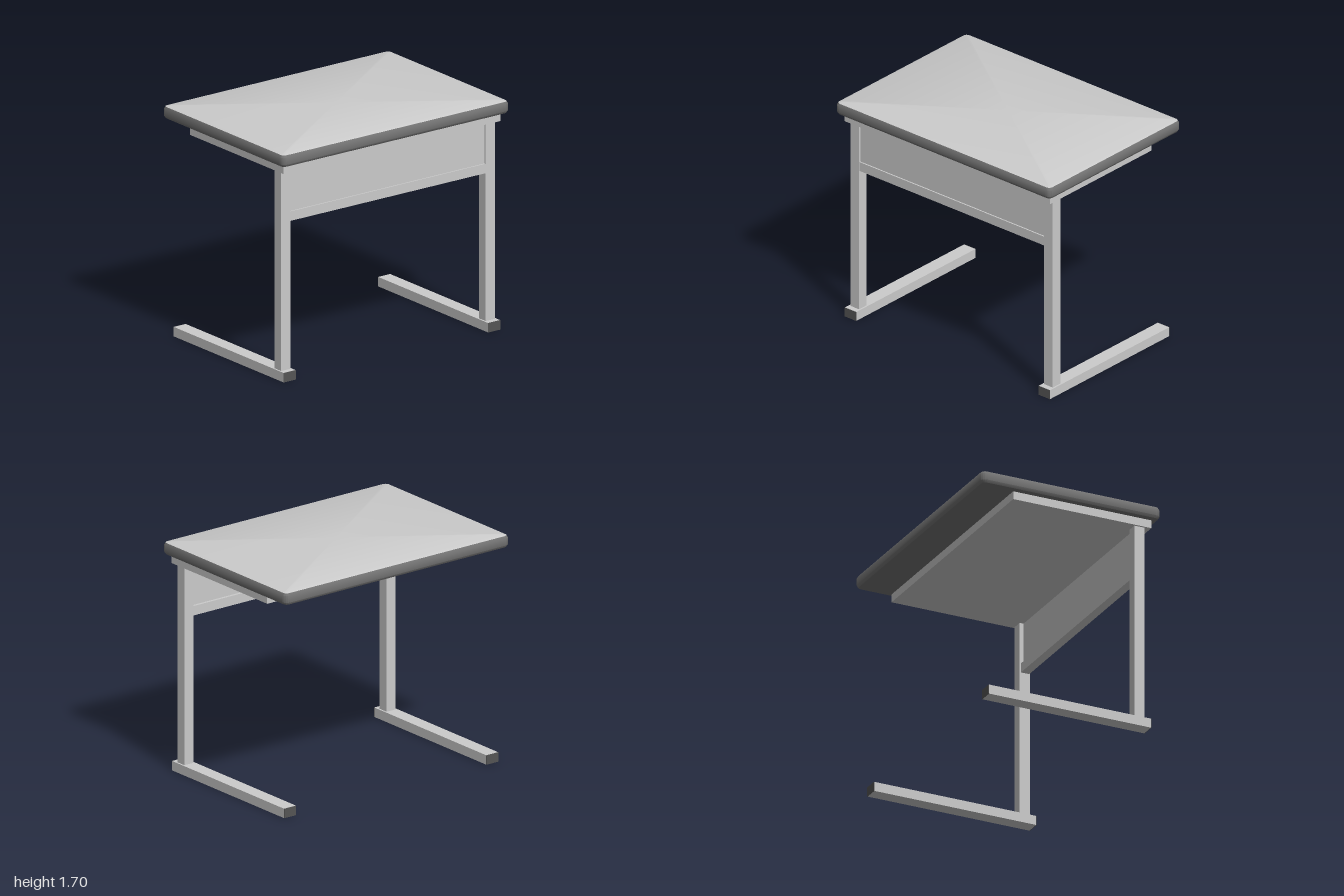
import * as THREE from 'three';
import { toCreasedNormals } from 'three/addons/utils/BufferGeometryUtils.js';

const grey = new THREE.MeshStandardMaterial({ color: 0xcccccc });
const edgeGrey = new THREE.MeshStandardMaterial({ color: 0x747474 });
const capGrey = new THREE.MeshStandardMaterial({ color: 0x555555 });

// Box given by its min and max corners
function box(name, [x0, y0, z0], [x1, y1, z1], material = grey) {
  const mesh = new THREE.Mesh(new THREE.BoxGeometry(x1 - x0, y1 - y0, z1 - z0), material);
  mesh.position.set((x0 + x1) / 2, (y0 + y1) / 2, (z0 + z1) / 2);
  mesh.name = name;
  return mesh;
}

// Rounded rectangle swept through a bottom-to-top profile of [inset, y];
// an inset of null closes the surface at its centre
function slab(name, halfX, halfZ, radius, profile, material) {
  const steps = 5, n = steps * 4, positions = [], index = [];
  for (const [inset, y] of profile) {
    for (let k = 0; k < n; k++) {
      const corner = Math.floor(k / steps);
      const a = (corner + (k % steps) / (steps - 1)) * Math.PI / 2;
      if (inset === null) { positions.push(0, y, 0); continue; }
      const r = Math.max(radius - inset, 0.012);
      const sx = corner === 0 || corner === 3 ? 1 : -1;
      const sz = corner < 2 ? 1 : -1;
      positions.push(
        sx * (halfX - inset - r) + r * Math.cos(a), y,
        sz * (halfZ - inset - r) + r * Math.sin(a));
    }
  }
  for (let j = 0; j < profile.length - 1; j++) {
    for (let k = 0; k < n; k++) {
      const a = j * n + k, b = j * n + (k + 1) % n, c = a + n, d = b + n;
      if (profile[j][0] !== null) index.push(a, c, b);
      if (profile[j + 1][0] !== null) index.push(b, c, d);
    }
  }
  const geometry = new THREE.BufferGeometry();
  geometry.setAttribute('position', new THREE.Float32BufferAttribute(positions, 3));
  geometry.setIndex(index);
  const mesh = new THREE.Mesh(toCreasedNormals(geometry, 0.6), material);
  mesh.name = name;
  return mesh;
}

export function createModel() {
  const desk = new THREE.Group();
  desk.name = 'desk';

  // Desktop: dark edge band and underside, light writing surface
  desk.add(slab('desktopEdge', 1, 0.7, 0.04, [
    [null, 1.6], [0.03, 1.6], [0.012, 1.607], [0, 1.625],
    [0, 1.675], [0.01, 1.692],
  ], edgeGrey));
  desk.add(slab('desktopSurface', 1, 0.7, 0.04, [
    [0.01, 1.692], [0.032, 1.7], [null, 1.7],
  ], grey));

  // Frame under the desktop
  desk.add(box('underframe', [-0.955, 1.54, -0.435], [0.955, 1.6, 0.645]));

  // Front panel and the rail beneath it
  desk.add(box('modestyPanel', [-0.86, 1.23, 0.55], [0.86, 1.54, 0.585]));
  desk.add(box('panelRail', [-0.86, 1.16, 0.53], [0.86, 1.23, 0.595]));

  // Legs, floor runners and runner end caps
  for (const [side, s] of [['left', 1], ['right', -1]]) {
    const support = new THREE.Group();
    support.name = side + 'Support';
    const x = s * 0.9;
    support.add(box('leg', [x - 0.04, 0.07, 0.52], [x + 0.04, 1.54, 0.6]));
    support.add(box('runner', [x - 0.053, 0, -0.623], [x + 0.053, 0.07, 0.643]));
    support.add(box('frontEndCap', [x - 0.053, 0, 0.643], [x + 0.053, 0.07, 0.646], capGrey));
    support.add(box('backEndCap', [x - 0.053, 0, -0.626], [x + 0.053, 0.07, -0.623], capGrey));
    desk.add(support);
  }
  return desk;
}
